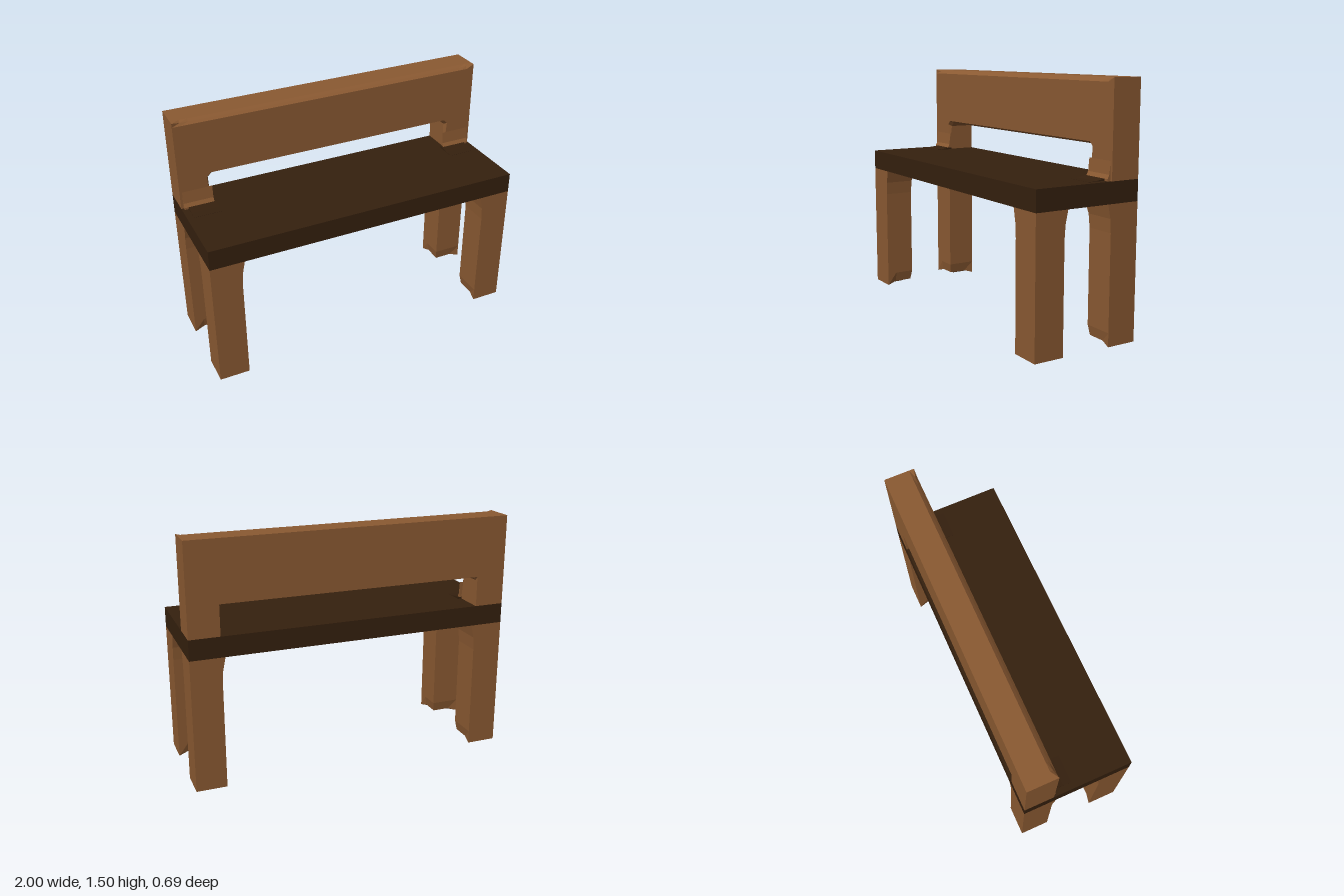
import * as THREE from 'three';

const wood = new THREE.MeshStandardMaterial({ color: 0x8b5a32 });
wood.name = 'warm wood';
const darkWood = new THREE.MeshStandardMaterial({ color: 0x35200e });
darkWood.name = 'dark wood';

const W = 0.186; // leg and post thickness
const SEAT_LOW = 0.815, SEAT_TOP = 0.94, TOP = 1.5;
const BACK = -0.343, BACK_FRONT = -0.157;

// Moves every vertex by a rule, then gives flat faces
function shapeBy(geometry, rule) {
  const g = geometry.index ? geometry.toNonIndexed() : geometry;
  const pos = g.attributes.position;
  const v = new THREE.Vector3();
  for (let i = 0; i < pos.count; i++) {
    rule(v.fromBufferAttribute(pos, i));
    pos.setXYZ(i, v.x, v.y, v.z);
  }
  g.computeVertexNormals();
  return g;
}

function add(group, name, geometry, material) {
  const mesh = new THREE.Mesh(geometry, material);
  mesh.name = name;
  group.add(mesh);
  return mesh;
}

// Leg with worn inner bottom edges and a small flare under the seat
function legGeometry(sx, sz) {
  const g = new THREE.BoxGeometry(W, SEAT_LOW, W, 3, 10, 3);
  return shapeBy(g, (p) => {
    const h = W / 2, e = 1e-4;
    const ax = -sx * p.x, az = -sz * p.z; // positive towards the bench centre
    const innerX = ax > h - e, innerZ = az > h - e;
    const y = p.y + SEAT_LOW / 2;
    if (y > 0.7) {
      const flare = y > 0.8 ? 0.022 : 0.005;
      if (innerX) p.x -= sx * flare;
      if (innerZ) p.z -= sz * flare;
    }
    if (y < e && ((innerX && az > -h + e) || (innerZ && ax > -h + e))) {
      p.y += 0.02;
      if (innerX) p.x += sx * 0.01;
      if (innerZ) p.z += sz * 0.01;
    }
  });
}

// Two posts and the lower part of the back, with an opening that is
// square behind and widened with cut corners in front
function backFrameGeometry(y1) {
  const ox = 0.815, oy = 1.128, c = 0.025;
  const s = new THREE.Shape([
    [-1, SEAT_TOP], [-ox, SEAT_TOP], [-ox, oy - c], [-ox + c, oy],
    [ox - c, oy], [ox, oy - c], [ox, SEAT_TOP], [1, SEAT_TOP], [1, y1], [-1, y1],
  ].map(([x, y]) => new THREE.Vector2(x, y)));
  const depth = BACK_FRONT - BACK;
  const g = new THREE.ExtrudeGeometry(s, { depth, steps: 8, bevelEnabled: false });
  return shapeBy(g, (p) => {
    const opening = Math.abs(p.x) < 0.9 && p.y < 1.2 && p.y > 1;
    if (opening && p.z < 0.001) {
      p.x = Math.sign(p.x) * ox;
      p.y = oy;
    } else if (opening && p.z > depth - 0.001) {
      p.x += Math.sign(p.x) * 0.012;
      p.y += 0.013;
    }
    p.z += BACK;
  });
}

// Top rail whose upper front edge is eased between the square ends
function topRailGeometry(y0) {
  const g = new THREE.BoxGeometry(2, TOP - y0, W, 40, 4, 6);
  return shapeBy(g, (p) => {
    const edge = p.y > (TOP - y0) / 2 - 1e-4 && p.z > W / 2 - 1e-4;
    if (edge) {
      const t = Math.min(1, (1 - Math.abs(p.x)) / 0.06);
      p.y -= 0.012 * t;
      p.z -= 0.015 * t;
    }
    p.y += (TOP + y0) / 2;
    p.z += (BACK + BACK_FRONT) / 2;
  });
}

// Wedge against a post: profile drawn in z and y, run along x
function wedge(points, x0, x1) {
  const s = new THREE.Shape(points.map(([z, y]) => new THREE.Vector2(-z, y)));
  const g = new THREE.ExtrudeGeometry(s, { depth: x1 - x0, bevelEnabled: false });
  return g.rotateY(Math.PI / 2).translate(x0, 0, 0);
}

export function createModel() {
  const bench = new THREE.Group();
  bench.name = 'bench';

  const seat = add(bench, 'seat', new THREE.BoxGeometry(2, SEAT_TOP - SEAT_LOW, 0.686), darkWood);
  seat.position.y = (SEAT_TOP + SEAT_LOW) / 2;

  // Legs
  for (const sx of [-1, 1]) {
    for (const sz of [-1, 1]) {
      const name = (sz > 0 ? 'front' : 'back') + (sx > 0 ? 'LeftLeg' : 'RightLeg');
      const leg = add(bench, name, legGeometry(sx, sz), wood);
      leg.position.set(sx * (1 - W / 2), SEAT_LOW / 2, sz * (0.343 - W / 2));
    }
  }

  // Backrest
  const back = new THREE.Group();
  back.name = 'backrest';
  bench.add(back);
  add(back, 'backFrame', backFrameGeometry(1.4), wood);
  add(back, 'topRail', topRailGeometry(1.4), wood);

  // Flared feet of the posts and the low swell of the seat before them
  const foot = [[-0.16, 0.93], [-0.138, 0.93], [-0.138, 0.952], [-0.15, 0.975], [-0.157, 1.05], [-0.16, 1.05]];
  const swell = [[-0.16, 0.935], [-0.03, 0.935], [-0.03, 0.941], [-0.08, 0.943], [-0.138, 0.952], [-0.16, 0.952]];
  for (const s of [-1, 1]) {
    const range = (a, b) => (s > 0 ? [a, b] : [-b, -a]);
    add(back, 'postFoot', wedge(foot, ...range(0.8, 0.985)), wood);
    const g = wedge(swell, ...range(0.79, 0.96));
    add(bench, 'seatSwell', g, darkWood);
  }
  return bench;
}
